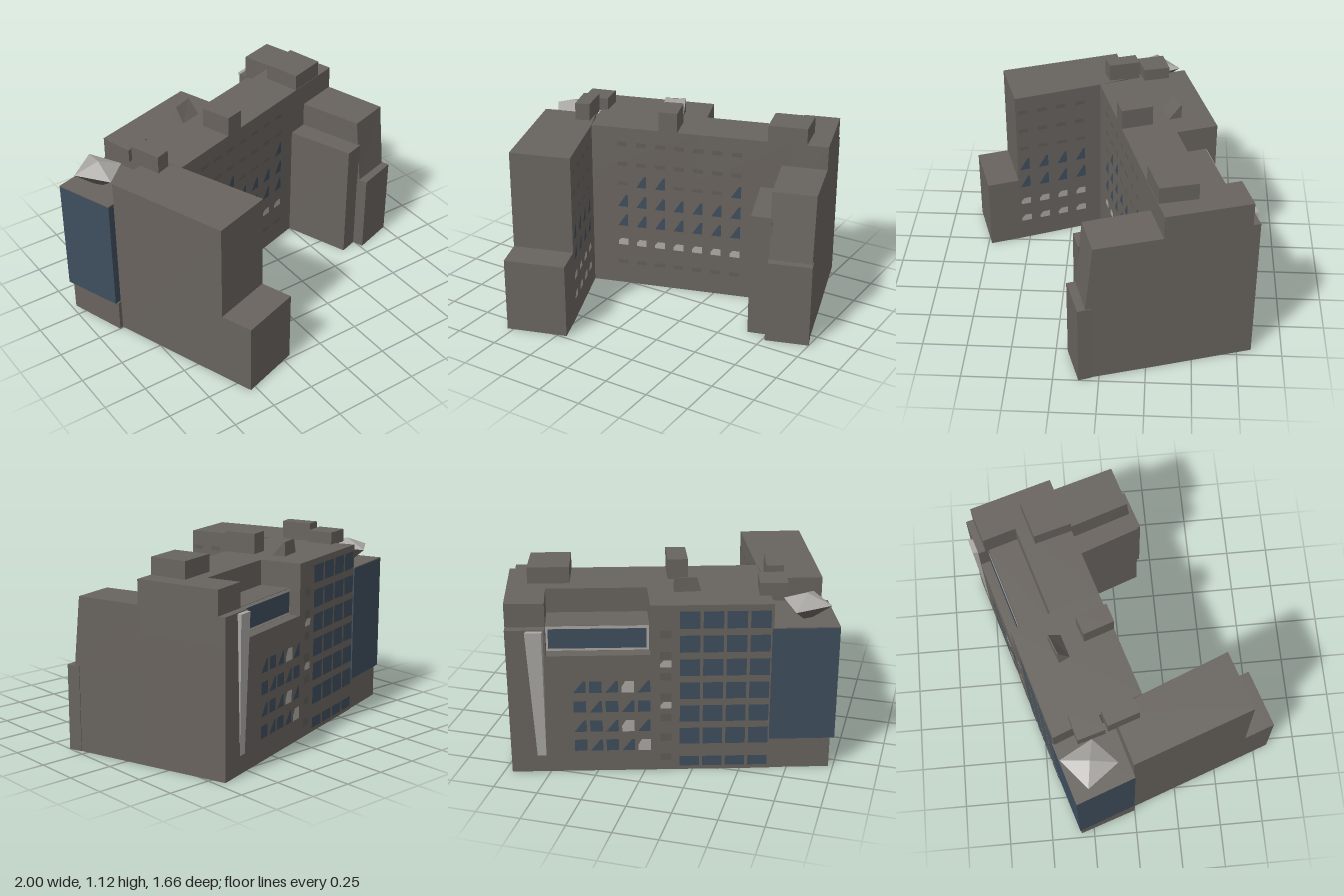
import * as THREE from 'three';

const mat = (name, color) => {
  const m = new THREE.MeshStandardMaterial({ color, side: THREE.DoubleSide });
  m.name = name;
  return m;
};

export function createModel() {
  const group = new THREE.Group();
  const wall = mat('wallGrey', 0x68635e);
  const glass = mat('glassBlue', 0x3e4e5d);
  const pale = mat('paleGrey', 0xaaa8a4);
  const dim = mat('dimWindow', 0x605c57);

  const addMesh = (name, positions, material) => {
    const g = new THREE.BufferGeometry();
    g.setAttribute('position', new THREE.Float32BufferAttribute(positions, 3));
    g.computeVertexNormals();
    const mesh = new THREE.Mesh(g, material);
    mesh.name = name;
    group.add(mesh);
    return mesh;
  };

  // Open-bottomed prism over a convex [x, z] footprint; the top ring may differ
  function prism(name, foot, y0, y1, material = wall, { top = foot, cap = true, bottom = false } = {}) {
    let area = 0;
    foot.forEach(([x, z], i) => {
      const [x2, z2] = foot[(i + 1) % foot.length];
      area += x * z2 - x2 * z;
    });
    const order = area > 0 ? (a) => [...a].reverse() : (a) => [...a];
    const lo = order(foot).map(([x, z]) => [x, y0, z]);
    const hi = order(top).map(([x, z]) => [x, y1, z]);
    const p = [];
    const n = lo.length;
    for (let i = 0; i < n; i++) {
      const j = (i + 1) % n;
      p.push(...lo[i], ...lo[j], ...hi[j], ...lo[i], ...hi[j], ...hi[i]);
    }
    for (let i = 1; i < n - 1; i++) {
      if (cap) p.push(...hi[0], ...hi[i], ...hi[i + 1]);
      if (bottom) p.push(...lo[0], ...lo[i + 1], ...lo[i]);
    }
    return addMesh(name, p, material);
  }

  // Collects thin window faces on a wall running from a to b, left to right seen from outside
  function windows(name, a, b, material, list, off = 0.004) {
    const d = new THREE.Vector2(b[0] - a[0], b[1] - a[1]).normalize();
    const p = [];
    const at = ([s, y]) => [a[0] + d.x * s - d.y * off, y, a[1] + d.y * s + d.x * off];
    for (const poly of list) {
      for (let i = 1; i < poly.length - 1; i++) p.push(...at(poly[0]), ...at(poly[i]), ...at(poly[i + 1]));
    }
    return addMesh(name, p, material);
  }
  const rect = (s, y, w, h) => [[s, y], [s + w, y], [s + w, y + h], [s, y + h]];
  const tri = (s, y, w, h) => [[s, y], [s + w, y], [s + w, y + h], [s + w * 0.8, y + h]];
  const blind = (s, y, w, h) => [[s, y], [s + w, y], [s + w, y + h], [s + w * 0.3, y + h], [s, y + h * 0.5]];

  // Main block, addressed by u along the back and v from back to front
  const BL = [-0.66, -0.425], BR = [0.705, -0.83], FR = [0.86, -0.33], FL = [-0.46, 0.07];
  const at = (u, v) => [0, 1].map((k) =>
    (BL[k] * (1 - u) + BR[k] * u) * (1 - v) + (FL[k] * (1 - u) + FR[k] * u) * v);
  const patch = (u0, u1, v0, v1) => [at(u0, v0), at(u1, v0), at(u1, v1), at(u0, v1)];
  prism('mainLowerFloors', patch(0, 1, 0, 1), 0, 0.71, wall, { cap: false });
  prism('mainUpperLeft', patch(0, 0.46, 0, 1), 0.71, 1);
  prism('mainUpperMiddle', patch(0.46, 0.85, 0.45, 1), 0.71, 1);
  prism('mainUpperRight', patch(0.85, 1, 0.08, 1), 0.71, 1);
  prism('backStep', patch(0.85, 1, 0, 0.08), 0.71, 0.865);
  prism('terrace', patch(0.46, 0.85, 0.12, 0.45), 0.71, 0.86);
  prism('terraceLedge', patch(0.46, 0.85, 0, 0.12), 0.70, 0.712);
  const gl = at(0.85, 0.12), gr = at(0.46, 0.12);
  windows('terraceFrame', gl, gr, pale, [rect(0, 0.715, 0.55, 0.145)]);
  windows('terraceGlazing', gl, gr, glass, [rect(0.012, 0.73, 0.525, 0.115)], 0.008);

  // Left wing and its low end
  prism('leftWing', [[-0.845, -0.01], [-0.545, -0.1], FL, [-0.265, 0.555], [-0.6, 0.66]], 0, 1);
  prism('leftWingEnd', [[-0.6, 0.66], [-0.265, 0.555], [-0.2, 0.73], [-0.535, 0.835]], 0, 0.43);

  // Right wing: side block, sloped front and low end
  prism('rightWingSide', [[0.5, -0.22], [0.62, -0.26], [0.755, 0.12], [0.64, 0.155]], 0, 0.72);
  const rearEdge = [[0.61, -0.26], [0.86, -0.33]];
  const lowFront = [[0.98, 0.07], [0.75, 0.137]];
  prism('rightWingBase', [...rearEdge, ...lowFront], 0, 0.48, wall, { cap: false });
  prism('rightWingUpper', [...rearEdge, ...lowFront], 0.48, 0.865, wall,
    { top: [...rearEdge, [0.97, 0.03], [0.735, 0.1]] });
  prism('rightWingEnd', [[0.74, 0.12], [0.975, 0.04], [1, 0.11], [0.765, 0.185]], 0, 0.48);

  // Glass corner tower on a recessed base
  const tower = [[-1, -0.33], [-0.655, -0.435], [-0.545, -0.1], [-0.88, -0.005]];
  prism('towerBase', [[-0.975, -0.325], [-0.66, -0.42], [-0.54, -0.1], [-0.865, 0]], 0, 0.19);
  prism('towerGlass', tower, 0.19, 0.86, glass, { cap: false, bottom: true });
  prism('towerRoof', tower, 0.86, 0.866);

  // Canopy over the tower: shallow pyramid with tapered underside
  const rim = [[-0.94, -0.26], [-0.77, -0.4], [-0.67, -0.22], [-0.81, -0.09]];
  const toward = (k) => rim.map(([x, z]) => [-0.8 + (x + 0.8) * k, -0.24 + (z + 0.24) * k]);
  prism('canopyTop', rim, 0.95, 1.0, pale, { top: toward(0.02) });
  prism('canopyUnderside', toward(0.25), 0.866, 0.95, wall, { top: rim, cap: false });

  // Rooftop housings
  const boxes = [
    [1.07, [[-0.705, -0.295], [-0.56, -0.335], [-0.52, -0.19], [-0.66, -0.145]]],
    [1.1, [[-0.65, -0.13], [-0.56, -0.16], [-0.51, 0.015], [-0.59, 0.045]]],
    [1.115, [[-0.135, -0.215], [-0.03, -0.25], [0.03, -0.078], [-0.075, -0.046]]],
    [1.095, [[0.47, -0.44], [0.69, -0.505], [0.743, -0.297], [0.53, -0.232]]],
  ];
  boxes.forEach(([h, foot]) => prism('roofHousing', foot, 0.995, h));
  prism('roofWedge', [[-0.245, -0.36], [-0.11, -0.41], [-0.085, -0.34], [-0.215, -0.3]], 1, 1.08, wall,
    { top: [[-0.225, -0.365], [-0.11, -0.41], [-0.108, -0.405], [-0.222, -0.36]] });

  // Leaning pale fin on the back wall
  prism('backFin', [[0.568, -0.79], [0.522, -0.776], [0.522, -0.773], [0.568, -0.786]], 0.1, 0.86, pale,
    { top: [[0.595, -0.825], [0.51, -0.8], [0.51, -0.765], [0.595, -0.79]] });

  // Back wall windows
  const grid = [], small = [], lights = [], dims = [];
  for (let r = 0; r < 7; r++) {
    for (let c = 0; c < 4; c++) grid.push(rect(0.925 + c * 0.125, 0.025 + r * 0.14, 0.108, r ? 0.1 : 0.06));
    dims.push(rect(0.82, 0.06 + r * 0.125, 0.06, 0.045));
  }
  for (let r = 0; r < 4; r++) {
    for (let c = 0; c < 5; c++) {
      const w = [0.35 + c * 0.087, 0.13 + r * 0.12, 0.068, 0.07];
      if ((c === 3 && r % 2) || (c === 4 && r === 0)) lights.push(blind(...w));
      else small.push((r + c) % 2 ? tri(...w) : rect(...w));
    }
  }
  lights.push(blind(0.82, 0.64, 0.06, 0.04), blind(0.82, 0.39, 0.06, 0.04));
  windows('backGlassGrid', BR, BL, glass, grid);
  windows('backSmallWindows', BR, BL, glass, small);
  windows('backPaleWindows', BR, BL, pale, lights, 0.006);
  windows('backDimWindows', BR, BL, dim, dims);

  // Courtyard windows on the main front and the left wing
  function courtyard(name, a, b, starts, paleRows, third) {
    const blue = [], light = [], faint = [];
    starts.forEach((s, i) => {
      blue.push(tri(s, 0.38, 0.06, 0.075), tri(s, 0.505, 0.06, 0.075));
      if (third.includes(i)) blue.push(tri(s, 0.635, 0.06, 0.075));
      else faint.push(rect(s, 0.645, 0.06, 0.02));
      paleRows.forEach((y) => light.push(blind(s, y, 0.06, 0.042)));
      [0.13, 0.765, 0.89].forEach((y) => {
        if (!paleRows.includes(y)) faint.push(rect(s, y, 0.06, 0.025));
      });
    });
    windows(name + 'BlueWindows', a, b, glass, blue);
    windows(name + 'PaleWindows', a, b, pale, light);
    windows(name + 'DimWindows', a, b, dim, faint);
  }
  const row = (n, s0, step) => Array.from({ length: n }, (_, i) => s0 + i * step);
  courtyard('front', FL, FR, row(7, 0.155, 0.113), [0.255], [1, 2, 6]);
  courtyard('leftWing', [-0.265, 0.555], FL, row(4, 0.012, 0.117), [0.255, 0.13], []);

  return group;
}
